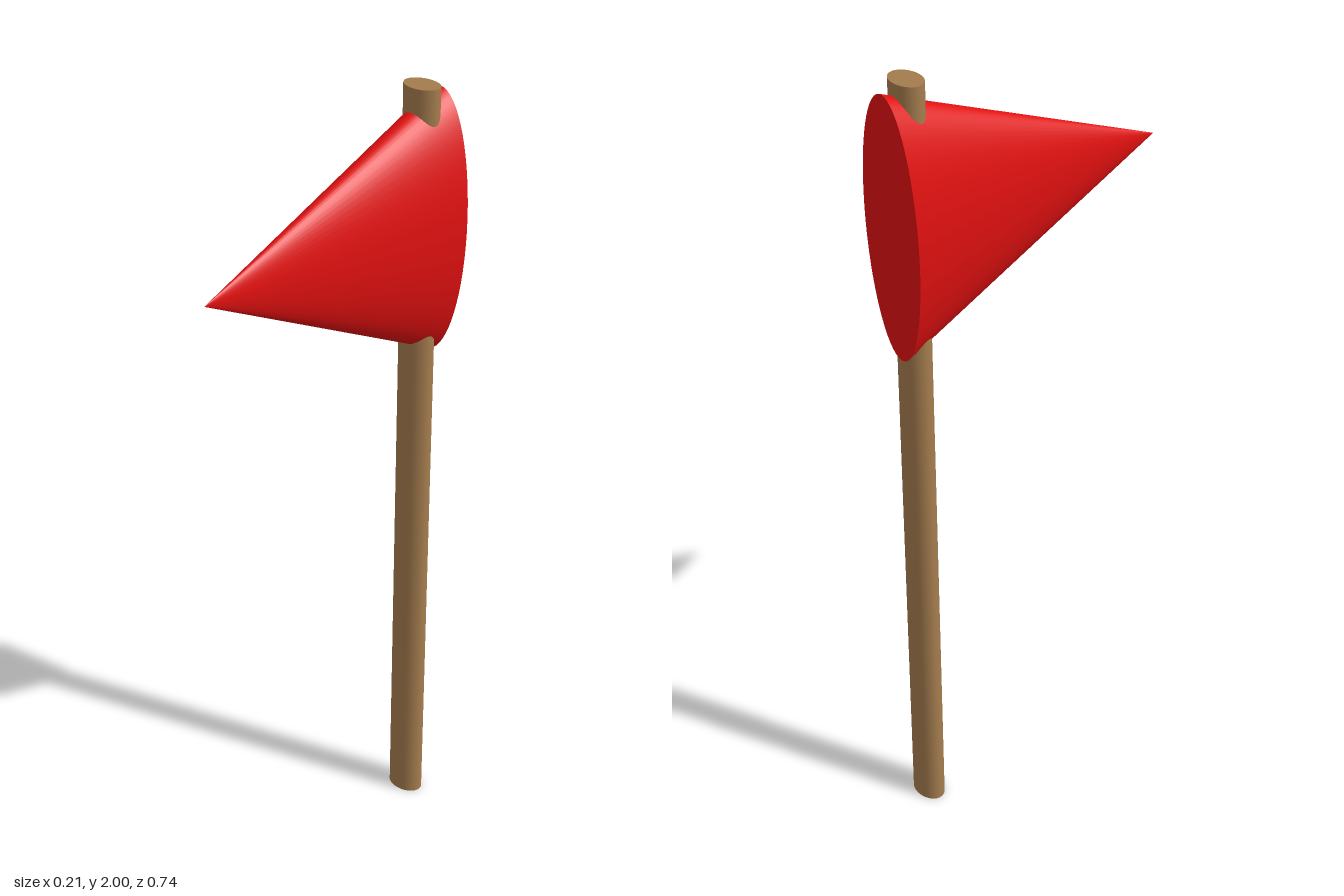
import * as THREE from 'three';

export function createModel() {
  const group = new THREE.Group();
  const add = (name, geometry, color) => {
    const mesh = new THREE.Mesh(geometry, new THREE.MeshStandardMaterial({ color }));
    mesh.name = name;
    group.add(mesh);
  };

  // Oval wooden pole
  const pole = new THREE.CylinderGeometry(1, 1, 2, 48);
  pole.scale(0.049, 1, 0.035).translate(0, 1, -0.31);
  add('pole', pole, 0xa47c4e);

  // Flattened cone flag: tip points forward and slightly up
  const flag = new THREE.ConeGeometry(1, 0.73, 64);
  flag.scale(0.106, 1, 0.33)
    .rotateX(Math.PI / 2 - 0.038)
    .translate(0, 1.664, 0.005);
  add('flag', flag, 0xe01010);

  return group;
}
